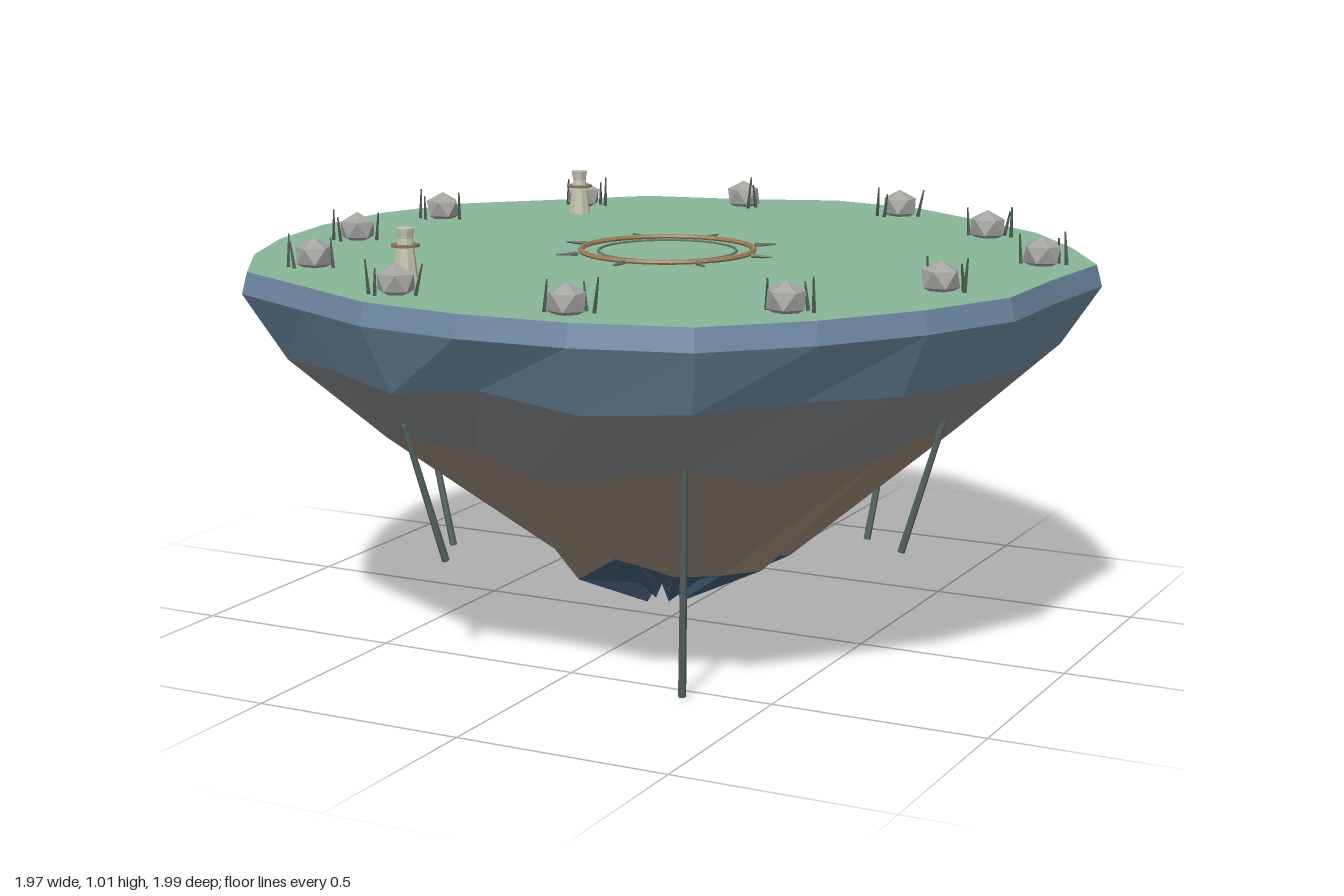
import * as THREE from 'three';

const CZ = 0.02; // centre of the island in z
const TOP = 0.9; // height of the grass

// Rim radius every 15 degrees, starting at the front and turning to +x
const RIM = [0.965, 0.985, 1.02, 0.99, 0.98, 0.99, 0.96, 1.015, 0.975, 0.97, 0.96, 1.005,
  1.02, 0.96, 1.01, 0.975, 1.015, 1.005, 0.985, 0.975, 0.98, 1.005, 0.95, 0.965];
const N = RIM.length;

const mat = (color, side = THREE.FrontSide) =>
  new THREE.MeshStandardMaterial({ color, side, flatShading: true });

let seed = 7;
const rand = () => {
  seed = (seed * 16807) % 2147483647;
  return seed / 2147483647;
};
const jitter = (amount) => (rand() * 2 - 1) * amount;

function add(parent, name, geometry, material, x = 0, y = 0, z = 0) {
  const mesh = new THREE.Mesh(geometry, material);
  mesh.name = name;
  mesh.position.set(x, y, z);
  parent.add(mesh);
  return mesh;
}

// Ring of points from a radius rule and a height rule
const ring = (radius, height) => RIM.map((_, i) => {
  const a = (i / N) * Math.PI * 2;
  const r = radius(i);
  return [Math.sin(a) * r, height(i), CZ + Math.cos(a) * r];
});

// Faceted skin between an upper and a lower ring
function band(upper, lower) {
  const pos = [];
  for (let i = 0; i < N; i++) {
    const j = (i + 1) % N;
    pos.push(...lower[i], ...lower[j], ...upper[j], ...lower[i], ...upper[j], ...upper[i]);
  }
  return toGeometry(pos);
}

// Fan that closes a ring with a centre point
function cap(points, y, up) {
  const pos = [];
  for (let i = 0; i < N; i++) {
    const a = points[i], b = points[(i + 1) % N];
    pos.push(0, y, CZ, ...(up ? a : b), ...(up ? b : a));
  }
  return toGeometry(pos);
}

function toGeometry(pos) {
  const g = new THREE.BufferGeometry();
  g.setAttribute('position', new THREE.Float32BufferAttribute(pos, 3));
  g.computeVertexNormals();
  return g;
}

// Thin rod between two points
function rod(parent, name, from, to, rTop, rBottom, material, sides = 6) {
  const a = new THREE.Vector3(...from), b = new THREE.Vector3(...to);
  const d = b.clone().sub(a);
  const mesh = add(parent, name, new THREE.CylinderGeometry(rTop, rBottom, d.length(), sides), material);
  mesh.position.copy(a).addScaledVector(d, 0.5);
  mesh.quaternion.setFromUnitVectors(new THREE.Vector3(0, 1, 0), d.normalize());
  return mesh;
}

function createIsland() {
  const island = new THREE.Group();
  island.name = 'island';
  const rings = [
    ring((i) => RIM[i] * 0.987, () => TOP),
    ring((i) => RIM[i], () => 0.85),
    ring((i) => RIM[i] * 0.915 + jitter(0.015), () => 0.705 + jitter(0.022)),
    ring((i) => RIM[i] * 0.67 + jitter(0.025), () => 0.51 + jitter(0.02)),
    ring((i) => 0.27 + (i % 2 ? 0.02 : -0.02) + jitter(0.025), () => 0.19 + jitter(0.03)),
    ring(() => 0.05 + jitter(0.015), (i) => 0.075 + (i % 2 ? 0.02 : -0.015) + jitter(0.01)),
  ];
  const layers = [
    ['rimEdge', 0x6d87a2], ['upperRock', 0x6d8ba2], ['middleRock', 0x87898a],
    ['lowerRock', 0x988775], ['tipRock', 0x415a74],
  ];
  layers.forEach(([name, color], k) => add(island, name, band(rings[k], rings[k + 1]), mat(color)));
  add(island, 'grass', cap(rings[0], TOP, true), mat(0x88b698));
  add(island, 'tipHollow', cap(rings[5], 0.12, false), mat(0x988775));
  return island;
}

// Six rods hanging under the rock, with their lower end heights
function createHangingRods() {
  const rods = new THREE.Group();
  rods.name = 'hangingRods';
  const material = mat(0x56645f);
  [0, 0.24, 0.11, 0.17, 0.11, 0.235].forEach((low, i) => {
    const a = Math.PI / 6 + (i * Math.PI) / 3;
    const at = (r, y) => [Math.sin(a) * r, y, CZ + Math.cos(a) * r];
    rod(rods, 'hangingRod', at(0.605, low), at(0.705, 0.565), 0.007, 0.009, material);
  });
  return rods;
}

// Round emblem in the middle of the grass: two hoops and eight pointers
function createCentreCircle() {
  const circle = new THREE.Group();
  circle.name = 'centreCircle';
  circle.position.set(0, TOP, CZ);
  const brown = mat(0x9a7d55), dark = mat(0x66786a);
  add(circle, 'outerHoop', new THREE.TorusGeometry(0.204, 0.007, 6, 48).rotateX(Math.PI / 2), brown, 0, 0.004);
  add(circle, 'innerHoop', new THREE.TorusGeometry(0.163, 0.004, 5, 40).rotateX(Math.PI / 2), dark, 0, 0.001);
  for (let i = 0; i < 8; i++) {
    const a = (i * Math.PI) / 4, s = Math.sin(a), c = Math.cos(a);
    rod(circle, 'pointer', [s * 0.22, 0.004, c * 0.22], [s * 0.272, 0.004, c * 0.272], 0.002, 0.006, dark, 5);
  }
  return circle;
}

// Boulder with a few blades of grass beside it, in the direction (dx, dz)
function createBoulder(x, z, dx, dz) {
  const group = new THREE.Group();
  group.name = 'boulderClump';
  group.position.set(x, TOP, z);
  const stone = new THREE.IcosahedronGeometry(0.048, 0)
    .rotateX(-Math.atan((1 + Math.sqrt(5)) / 2)).rotateY(rand() * 6).scale(1, 0.85, 0.88);
  add(group, 'boulder', stone, mat(0xa3a3a0), 0, 0.026, 0);
  const blade = mat(0x4d5c4e);
  const a = Math.atan2(dx, dz);
  [[0, 0.058, 0.075], [0.5, 0.05, 0.06], [2.6, 0.05, 0.068]].forEach(([turn, r, h]) => {
    const bx = Math.sin(a + turn) * r, bz = Math.cos(a + turn) * r;
    rod(group, 'grassBlade', [bx, 0, bz], [bx + jitter(0.012), h, bz + jitter(0.012)], 0.002, 0.005, blade, 4);
  });
  return group;
}

// Small tapered tower with a collar
function createTower(x, z) {
  const tower = new THREE.Group();
  tower.name = 'tower';
  tower.position.set(x, TOP, z);
  add(tower, 'towerBody', new THREE.CylinderGeometry(0.017, 0.028, 0.088, 8), mat(0xc6c5b2), 0, 0.044, 0);
  add(tower, 'towerCollar', new THREE.CylinderGeometry(0.033, 0.033, 0.005, 10), mat(0x8a7258), 0, 0.071, 0);
  add(tower, 'towerHead', new THREE.CylinderGeometry(0.021, 0.017, 0.024, 8), mat(0xc6c5b2), 0, 0.098, 0);
  return tower;
}

export function createModel() {
  const model = new THREE.Group();
  model.name = 'floatingIsland';
  model.add(createIsland(), createHangingRods(), createCentreCircle());

  // x, z and the direction of the grass blades
  [
    [-0.18, -0.78, 6, 8], [0.26, -0.79, -8, 5], [0.595, -0.53, 9, -4], [0.857, -0.175, 9, -5],
    [0.778, 0.255, 9, 1], [0.593, 0.65, 9, -3], [0.2, 0.87, 9, -6], [-0.243, 0.82, -7, 4],
    [-0.61, 0.59, -9, 6], [-0.757, 0.19, -7, 6], [-0.767, -0.22, -7, 4], [-0.56, -0.59, 9, -4],
  ].forEach((p) => model.add(createBoulder(...p)));

  model.add(createTower(-0.5, -0.46), createTower(-0.345, 0.62));
  return model;
}
